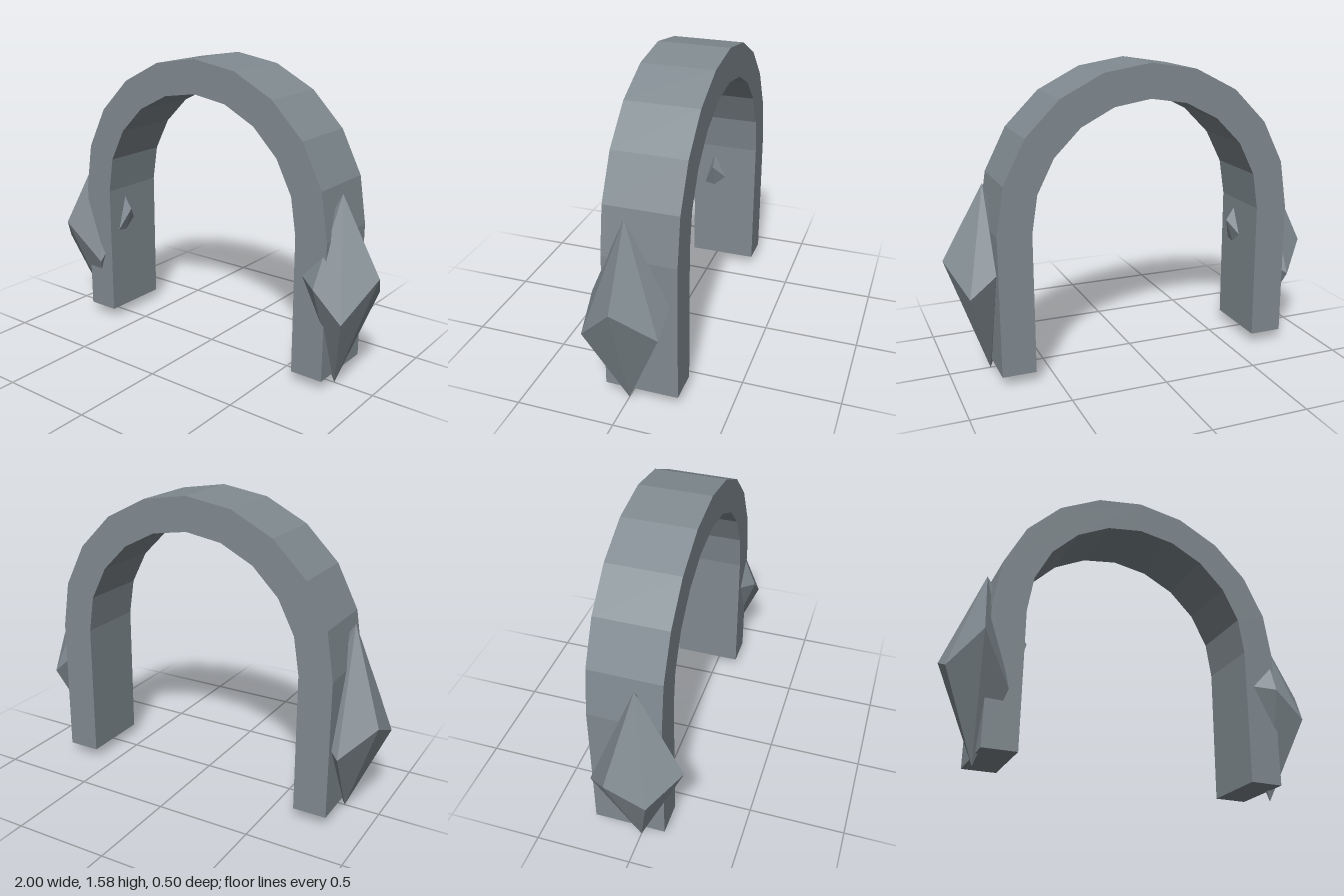
import * as THREE from 'three';

const slate = new THREE.MeshStandardMaterial({ color: 0x808a90 });
slate.name = 'slate';

// Straight-legged arch: two half rings of points joined at the feet
function makeArch() {
  const cx = -0.015, cy = 0.785, foot = 0.06, outer = 0.795, inner = 0.62, steps = 10;
  const arc = (r) => Array.from({ length: steps + 1 }, (_, i) => {
    const a = (i / steps) * Math.PI;
    return new THREE.Vector2(cx + r * Math.cos(a), cy + r * Math.sin(a));
  });
  const shape = new THREE.Shape([
    new THREE.Vector2(cx + outer, foot), ...arc(outer), new THREE.Vector2(cx - outer, foot),
    new THREE.Vector2(cx - inner, foot), ...arc(inner).reverse(), new THREE.Vector2(cx + inner, foot),
  ]);
  const geo = new THREE.ExtrudeGeometry(shape, { depth: 0.375, bevelEnabled: false });
  geo.translate(0, 0, -0.25);
  const mesh = new THREE.Mesh(geo, slate);
  mesh.name = 'archBand';
  return mesh;
}

// Irregular double pyramid; the ring runs from +x towards +z
function makeCrystal(name, x, ring) {
  const top = [x, 1.0, 0], bottom = [x, 0.005, 0];
  const pos = [];
  ring.forEach((a, i) => {
    const b = ring[(i + 1) % ring.length];
    pos.push(...top, ...b, ...a, ...bottom, ...a, ...b);
  });
  const geo = new THREE.BufferGeometry();
  geo.setAttribute('position', new THREE.Float32BufferAttribute(pos, 3));
  geo.computeVertexNormals();
  const mesh = new THREE.Mesh(geo, slate);
  mesh.name = name;
  return mesh;
}

export function createModel() {
  const group = new THREE.Group();
  group.name = 'crystalArch';
  group.add(makeArch());
  group.add(makeCrystal('leftCrystal', 0.785, [
    [1.0, 0.62, 0], [0.905, 0.42, 0.185], [0.75, 0.565, 0.19], [0.62, 0.6, 0.105],
    [0.62, 0.55, -0.09], [0.78, 0.58, -0.21], [0.91, 0.47, -0.2],
  ]));
  group.add(makeCrystal('rightCrystal', -0.815, [
    [-0.59, 0.66, 0], [-0.705, 0.35, 0.148], [-0.862, 0.59, 0.248], [-1.0, 0.44, 0.1],
    [-1.0, 0.53, -0.107], [-0.85, 0.385, -0.243], [-0.69, 0.5, -0.15],
  ]));
  return group;
}
